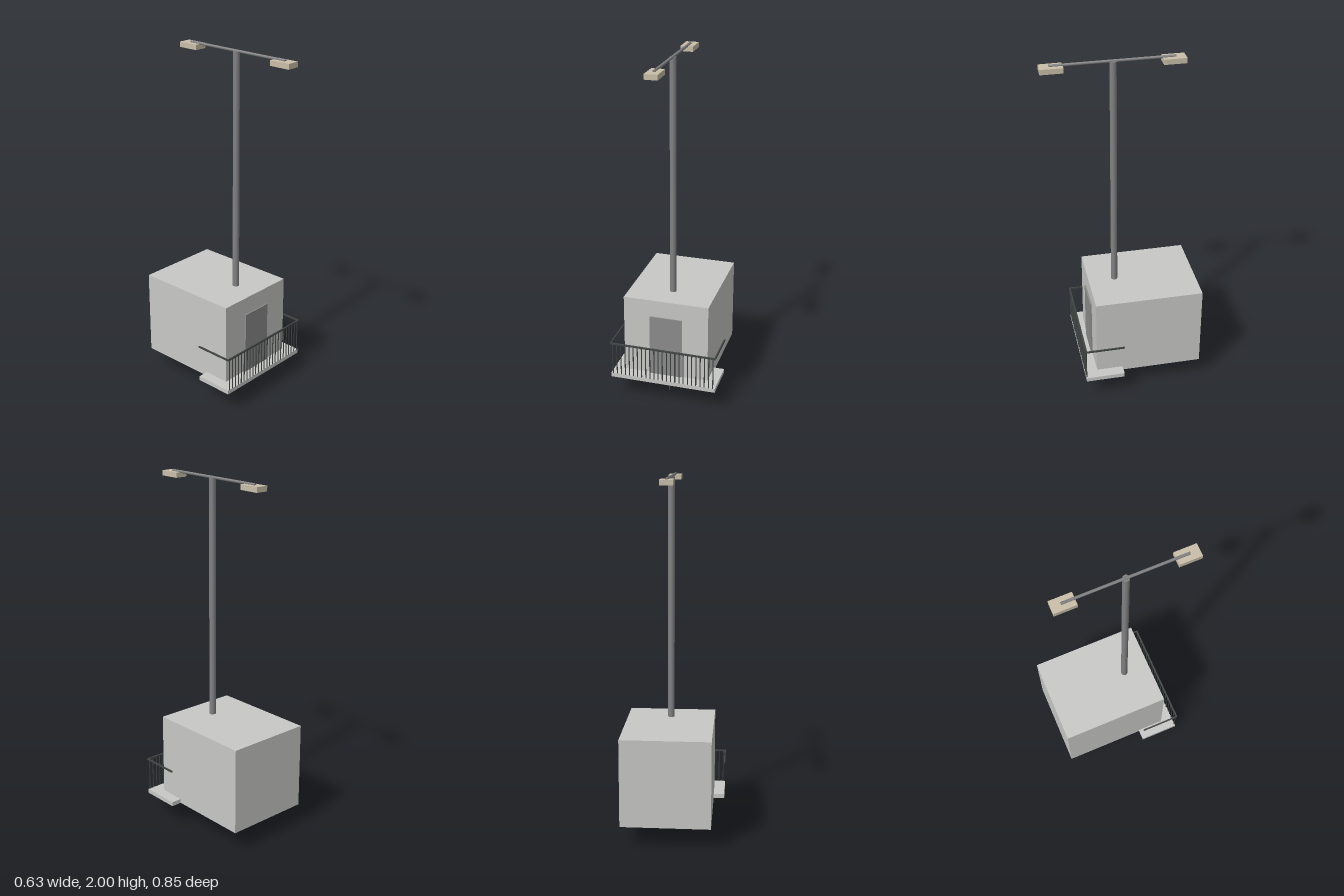
import * as THREE from 'three';

const mat = (name, color) => Object.assign(new THREE.MeshStandardMaterial({ color }), { name });

export function createModel() {
  const concrete = mat('concrete', 0xc8c8c6);
  const doorGrey = mat('door grey', 0x8c8c8c);
  const steel = mat('mast steel', 0x828284);
  const iron = mat('dark iron', 0x414644);
  const lampShell = mat('lamp beige', 0xc9bea8);

  const model = new THREE.Group();
  model.name = 'cabinWithLampMast';
  const add = (name, geometry, material, x, y, z, parent = model) => {
    const mesh = new THREE.Mesh(geometry, material);
    mesh.name = name;
    mesh.position.set(x, y, z);
    parent.add(mesh);
    return mesh;
  };
  // Box given by its lower and upper limits on each axis
  const box = (name, material, [x0, x1], [y0, y1], [z0, z1], parent) =>
    add(name, new THREE.BoxGeometry(x1 - x0, y1 - y0, z1 - z0), material,
      (x0 + x1) / 2, (y0 + y1) / 2, (z0 + z1) / 2, parent);

  // Cabin, balcony and door
  box('cabin', concrete, [-0.25, 0.25], [0.125, 0.622], [-0.427, 0.195]);
  box('balconySlab', concrete, [-0.312, 0.312], [0.125, 0.15], [0.042, 0.267]);
  box('door', doorGrey, [-0.094, 0.094], [0.15, 0.52], [0.195, 0.204]);

  // Balcony railing: top rails on three sides, bars along the front
  const railing = new THREE.Group();
  railing.name = 'railing';
  model.add(railing);
  box('frontRail', iron, [-0.314, 0.314], [0.341, 0.35], [0.261, 0.27], railing);
  for (const s of [-1, 1]) {
    const x = s * 0.311;
    box(s < 0 ? 'rightRail' : 'leftRail', iron, [x - 0.004, x + 0.004], [0.341, 0.35], [0.042, 0.262], railing);
  }
  const barGeometry = new THREE.CylinderGeometry(0.0032, 0.0032, 0.195, 6);
  for (let i = 0; i < 25; i++) add('railingBar', barGeometry, iron, -0.3 + i * 0.025, 0.2475, 0.2655, railing);

  // Thin post below, and the mast's fixing ring under the floor
  add('groundPost', new THREE.CylinderGeometry(0.005, 0.005, 0.13, 8), iron, 0, 0.065, 0.12);
  add('fixingRing', new THREE.RingGeometry(0.06, 0.11, 24).rotateX(Math.PI / 2), iron, 0, 0.1245, 0.042);

  // Lamp mast with a cross arm and two lamp heads
  add('mast', new THREE.CylinderGeometry(0.019, 0.019, 1.375, 12), steel, 0, 1.3025, 0.042);
  add('crossArm', new THREE.CylinderGeometry(0.008, 0.008, 0.664, 8).rotateX(Math.PI / 2), steel, 0, 1.992, 0.042);
  for (const s of [-1, 1])
    box(s < 0 ? 'backLamp' : 'frontLamp', lampShell, [-0.036, 0.036], [1.961, 1.99],
      [0.042 + s * 0.322 - 0.0615, 0.042 + s * 0.322 + 0.0615]);

  return model;
}
